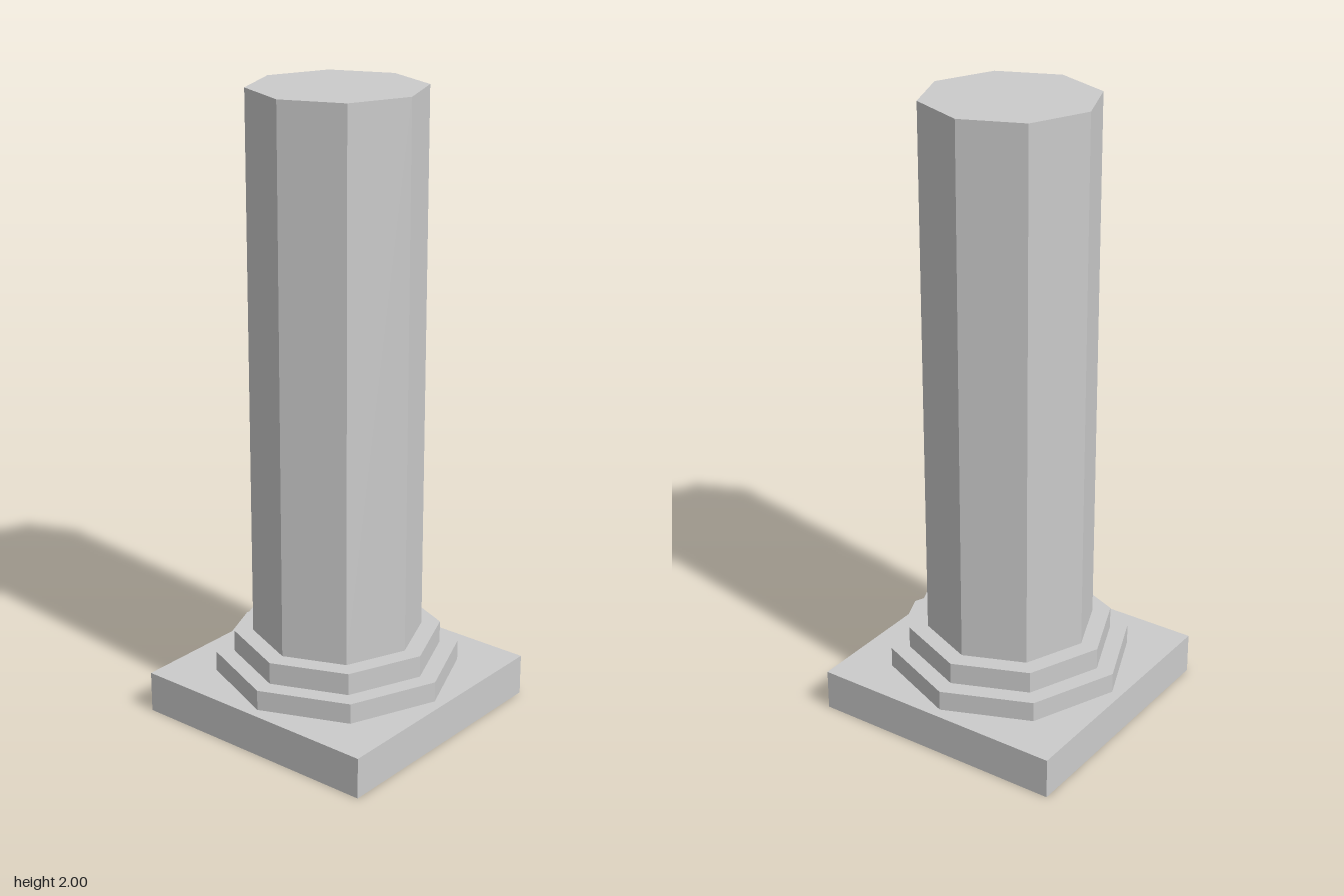
import * as THREE from 'three';

const material = new THREE.MeshStandardMaterial({ color: 0xcccccc, flatShading: true });

function addPart(group, name, geometry, bottom, top) {
  const mesh = new THREE.Mesh(geometry, material);
  mesh.name = name;
  mesh.position.y = (bottom + top) / 2;
  group.add(mesh);
}

export function createModel() {
  const column = new THREE.Group();
  column.name = 'column';

  // Square plinth
  const plinthTop = 0.133;
  addPart(column, 'plinth', new THREE.BoxGeometry(0.846, plinthTop, 0.846), 0, plinthTop);

  // Octagonal base steps and shaft, stacked with corners on the axes
  const tiers = [
    ['lowerStep', 0.389, 0.199],
    ['upperStep', 0.33, 0.27],
    ['shaft', 0.27, 2],
  ];
  let bottom = plinthTop;
  for (const [name, radius, top] of tiers) {
    addPart(column, name, new THREE.CylinderGeometry(radius, radius, top - bottom, 8), bottom, top);
    bottom = top;
  }
  return column;
}
